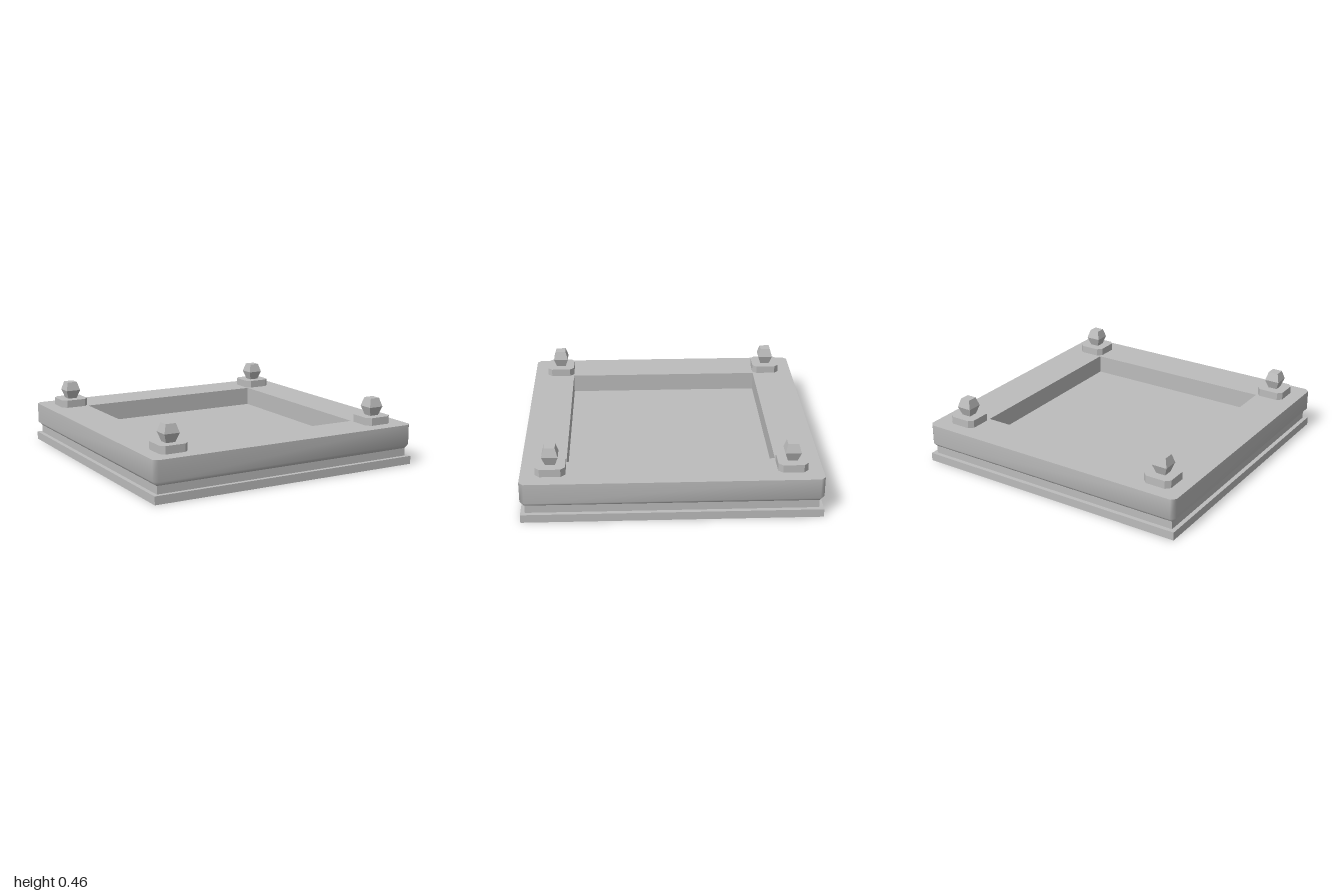
import * as THREE from 'three';

const stone = new THREE.MeshStandardMaterial({ color: 0xbcbcbc });
stone.name = 'grey stone';

// Square outline of half-width h at height y, its corners cut by c
function outline([h, y, c = 0]) {
  const k = h - c;
  return [[h, -k], [h, k], [k, h], [-k, h], [-h, k], [-h, -k], [-k, -h], [k, -h]]
    .map(([x, z]) => [x, y, z]);
}

// Joins stacked outlines [halfWidth, y, cornerCut]; half-width 0 closes the end
function loft(name, sections, smooth = false) {
  const index = [];
  for (let r = 0; r < sections.length - 1; r++) {
    for (let i = 0; i < 8; i++) {
      const a = r * 8 + i, b = r * 8 + (i + 1) % 8;
      index.push(a, a + 8, b, a + 8, b + 8, b);
    }
  }
  let geometry = new THREE.BufferGeometry();
  geometry.setAttribute('position',
    new THREE.Float32BufferAttribute(sections.flatMap(outline).flat(), 3));
  geometry.setIndex(index);
  if (!smooth) geometry = geometry.toNonIndexed();
  geometry.computeVertexNormals();
  const mesh = new THREE.Mesh(geometry, stone);
  mesh.name = name;
  return mesh;
}

export function createModel() {
  const model = new THREE.Group();
  model.name = 'squarePlinth';

  // Bottom slab and the recessed neck above it
  model.add(loft('baseSlab', [[0, 0], [1, 0], [1, 0.057], [0, 0.057]]));
  model.add(loft('neck', [[0.97, 0.057], [0.97, 0.112]]));

  // Softly shaded outer band, flaring out from the neck
  model.add(loft('outerBand', [[0.97, 0.112], [1, 0.142, 0.03], [1, 0.283, 0.03]], true));

  // Flat rim, stepping down into the square basin
  model.add(loft('rimAndBasin', [[1, 0.283, 0.03], [0.7, 0.283], [0.7, 0.15], [0, 0.15]]));

  // Corner posts: a cut-cornered pad carrying a faceted finial
  for (const x of [-0.8, 0.8]) {
    for (const z of [-0.8, 0.8]) {
      const post = new THREE.Group();
      post.name = 'cornerPost';
      post.position.set(x, 0.283, z);
      post.add(loft('pad', [[0, 0], [0.1, 0, 0.03], [0.1, 0.054, 0.03], [0, 0.054]]));
      post.add(loft('finial', [[0.033, 0.054], [0.054, 0.116], [0.036, 0.177], [0, 0.177]]));
      model.add(post);
    }
  }
  return model;
}
